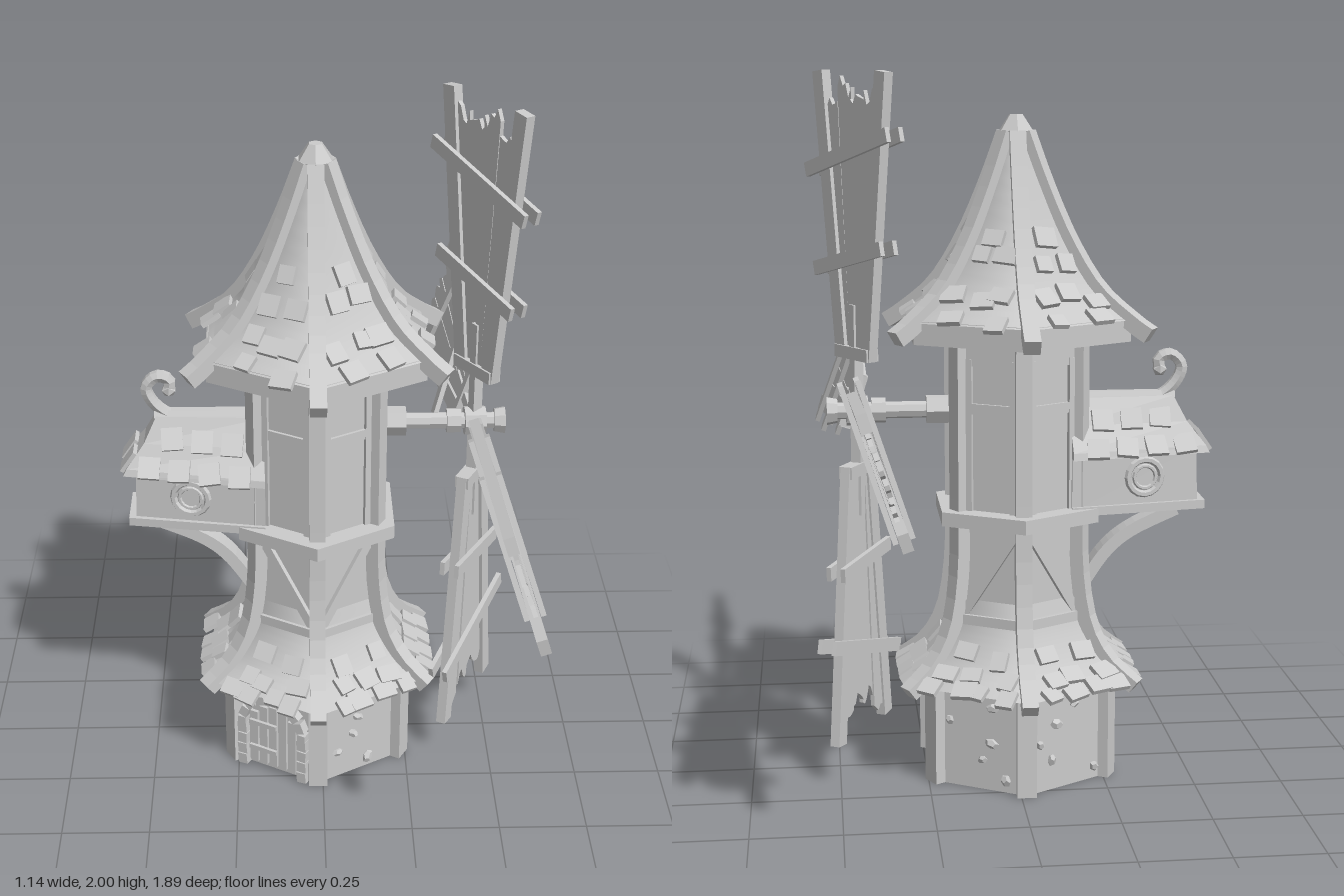
import * as THREE from 'three';

const flat = new THREE.MeshStandardMaterial({ color: 0xcccccc, flatShading: true, side: THREE.DoubleSide });
const smooth = new THREE.MeshStandardMaterial({ color: 0xcccccc, side: THREE.DoubleSide });
const V2 = (p) => new THREE.Vector2(p[0], p[1]);
const rad = THREE.MathUtils.degToRad;
const COS30 = Math.cos(Math.PI / 6);

let seed = 7;
const rnd = (a, b) => {
  seed = (seed * 16807) % 2147483647;
  return a + (b - a) * (seed / 2147483647);
};

function add(parent, name, geo, pos = [0, 0, 0], rot = [0, 0, 0], mat = flat) {
  const m = new THREE.Mesh(geo, mat);
  m.name = name;
  m.position.set(...pos);
  m.rotation.set(...rot);
  parent.add(m);
  return m;
}
const box = (w, h, d) => new THREE.BoxGeometry(w, h, d);

function sub(parent, name, pos = [0, 0, 0], rotY = 0) {
  const g = new THREE.Group();
  g.name = name;
  g.position.set(...pos);
  g.rotation.y = rotY;
  parent.add(g);
  return g;
}

// Straight bar between two points of a local XY plane
function bar(parent, name, a, b, w, d, z = 0) {
  const dx = b[0] - a[0], dy = b[1] - a[1];
  return add(parent, name, box(w, Math.hypot(dx, dy), d),
    [(a[0] + b[0]) / 2, (a[1] + b[1]) / 2, z], [0, 0, -Math.atan2(dx, dy)]);
}

// Curved beam: a strip of given depth under a spline, extruded to a width
function ribGeometry(points, depth, width) {
  const curve = new THREE.SplineCurve(points.map(V2)), outer = [], inner = [];
  for (let i = 0; i <= 14; i++) {
    const p = curve.getPoint(i / 14), t = curve.getTangent(i / 14);
    outer.push(p);
    inner.unshift(new THREE.Vector2(p.x - t.y * depth, p.y + t.x * depth));
  }
  const geo = new THREE.ExtrudeGeometry(new THREE.Shape([...outer, ...inner]), { depth: width, bevelEnabled: false });
  return geo.translate(0, 0, -width / 2);
}

// Six-sided ring with a rectangular section
function hexRing(parent, name, ri, ro, y0, y1) {
  const pts = [[ri, y0], [ro, y0], [ro, y1], [ri, y1], [ri, y0]].map(V2);
  add(parent, name, new THREE.LatheGeometry(pts, 6), [0, 0, 0], [0, 0, 0], flat);
}

// Loft of four-cornered rings [y, xBack, halfBack, xEnd, halfEnd]
function loft(rings) {
  const P = rings.map(([y, xb, wb, xe, we]) => [[xb, y, wb], [xe, y, we], [xe, y, -we], [xb, y, -wb]]);
  const v = [];
  for (let k = 0; k + 1 < P.length; k++) for (let i = 0; i < 4; i++) {
    const j = (i + 1) % 4, b = P[k], t = P[k + 1];
    v.push(...b[j], ...b[i], ...t[i], ...b[j], ...t[i], ...t[j]);
  }
  const b = P[0], t = P[P.length - 1];
  v.push(...b[0], ...b[1], ...b[2], ...b[0], ...b[2], ...b[3], ...t[0], ...t[2], ...t[1], ...t[0], ...t[3], ...t[2]);
  const g = new THREE.BufferGeometry();
  g.setAttribute('position', new THREE.Float32BufferAttribute(v, 3));
  g.computeVertexNormals();
  return g;
}

// Six-sided sweeping roof with loose shingles
function sweptRoof(parent, name, points, rows) {
  const curve = new THREE.SplineCurve(points.map(V2));
  add(parent, name, new THREE.LatheGeometry(curve.getPoints(14), 6), [0, 0, 0], [0, 0, 0], smooth);
  for (let f = 0; f < 6; f++) {
    const face = sub(parent, name + 'Shingles', [0, 0, 0], rad(30 + 60 * f));
    for (const [u, count] of rows) for (let i = 0; i < count; i++) {
      const uu = u + rnd(-0.04, 0.04), p = curve.getPoint(Math.max(0, uu)), t = curve.getTangent(Math.max(0, uu));
      const x = ((i + 0.5) / count - 0.5 + rnd(-0.08, 0.08)) * p.x * 0.8;
      add(face, 'shingle', box(rnd(0.045, 0.07), rnd(0.045, 0.06), 0.014), [x, p.y + 0.006, p.x * COS30 + 0.008],
        [Math.atan2(t.x * COS30, t.y) - 0.12, 0, rnd(-0.15, 0.15)]);
    }
  }
}

function buildDoor(face, z) {
  const s = new THREE.Shape();
  s.moveTo(-0.085, 0.02).lineTo(0.085, 0.02).lineTo(0.085, 0.16);
  s.absarc(0, 0.16, 0.085, 0, Math.PI, false);
  add(face, 'doorPanel', new THREE.ExtrudeGeometry(s, { depth: 0.008, bevelEnabled: false }), [0, 0, z]);
  for (let i = -2; i <= 2; i++) {
    const h = 0.13 + Math.sqrt(0.08 ** 2 - (i * 0.032) ** 2);
    add(face, 'doorPlank', box(0.026, h, 0.012), [0, 0, 0]).position.set(i * 0.032, 0.025 + h / 2, z + 0.012);
  }
  for (const y of [0.08, 0.17]) add(face, 'doorHinge', box(0.09, 0.014, 0.01), [-0.03, y, z + 0.022]);
  // Stone arch
  for (const sx of [-1, 1]) for (let i = 0; i < 4; i++)
    add(face, 'doorStone', box(0.03, 0.034, 0.035), [sx * 0.1, 0.025 + i * 0.038, z + 0.01], [0, 0, rnd(-0.1, 0.1)]);
  for (let i = 0; i <= 8; i++) {
    const a = Math.PI * i / 8;
    add(face, 'doorStone', box(0.026, 0.034, 0.035), [0.1 * Math.cos(a), 0.16 + 0.1 * Math.sin(a), z + 0.01], [0, 0, a]);
  }
}

function buildTower(root) {
  const tower = sub(root, 'tower', [-0.015, 0, 0]);
  // Hollow base and core
  add(tower, 'baseWall', new THREE.CylinderGeometry(0.285, 0.285, 0.3, 6, 1, true), [0, 0.155, 0]);
  add(tower, 'baseCeiling', new THREE.CylinderGeometry(0.33, 0.33, 0.012, 6), [0, 0.302, 0]);
  add(tower, 'towerWall', new THREE.CylinderGeometry(0.19, 0.19, 0.9, 6), [0, 0.85, 0]);
  sweptRoof(tower, 'skirtRoof', [[0.36, 0.3], [0.285, 0.355], [0.225, 0.44], [0.19, 0.53]], [[0.03, 4], [0.22, 3], [0.45, 2]]);
  sweptRoof(tower, 'mainRoof', [[0.35, 1.33], [0.25, 1.41], [0.165, 1.54], [0.095, 1.69], [0.038, 1.83]],
    [[0.05, 2], [0.2, 3], [0.4, 2], [0.55, 1]]);
  hexRing(tower, 'eaveBoards', 0.31, 0.345, 1.27, 1.335);
  add(tower, 'roofCeiling', new THREE.CylinderGeometry(0.33, 0.33, 0.012, 6), [0, 1.3, 0]);
  hexRing(tower, 'middleBand', 0.18, 0.255, 0.75, 0.79);
  hexRing(tower, 'lowerBand', 0.18, 0.215, 0.46, 0.49);
  hexRing(tower, 'upperBand', 0.18, 0.2, 1.2, 1.27);
  add(tower, 'roofCap', new THREE.CylinderGeometry(0.02, 0.052, 0.045, 6), [0, 1.86, 0]);
  add(tower, 'roofCapCollar', new THREE.CylinderGeometry(0.052, 0.045, 0.015, 6), [0, 1.83, 0]);

  // Corner posts, tower ribs and roof ribs
  const wallRib = ribGeometry([[0.385, 0.3], [0.3, 0.365], [0.245, 0.46], [0.22, 0.6], [0.215, 0.76], [0.215, 1.0], [0.215, 1.3]], 0.04, 0.045);
  const roofRib = ribGeometry([[0.415, 1.31], [0.36, 1.345], [0.262, 1.425], [0.178, 1.55], [0.106, 1.7], [0.05, 1.84]], 0.045, 0.045);
  for (let k = 0; k < 6; k++) {
    const corner = sub(tower, 'corner', [0, 0, 0], rad(60 * k - 90));
    add(corner, 'basePost', box(0.05, 0.3, 0.055), [0.275, 0.155, 0]);
    add(corner, 'wallRib', wallRib);
    add(corner, 'roofRib', roofRib);
  }

  // Wall details
  for (let k = 0; k < 6; k++) {
    const face = sub(tower, 'wallFace', [0, 0, 0], rad(30 + 60 * k)), s = k % 2 ? 1 : -1;
    bar(face, 'diagonalBrace', [s * 0.085, 0.49], [-s * 0.085, 0.75], 0.028, 0.02, 0.168);
    add(face, 'wallCrossbar', box(0.18, 0.03, 0.014), [0, 1.08, 0.166]);
    for (const sx of [-1, 1]) add(face, 'panelEdge', box(0.025, 0.44, 0.014), [sx * 0.07, 1.0, 0.168]);
    if (k === 5) buildDoor(face, 0.247);
    else for (let i = 0; i < 5; i++) {
      const stone = add(face, 'wallStone', new THREE.DodecahedronGeometry(rnd(0.013, 0.02)),
        [rnd(-0.1, 0.1), 0.04 + i * 0.052, 0.247], [rnd(0, 3), rnd(0, 3), 0]);
      stone.scale.set(1.2, 0.8, 0.8);
    }
  }
}

function buildHut(root) {
  const hut = sub(root, 'sideHut');
  add(hut, 'hutWalls', loft([[0.78, -0.16, 0.13, -0.53, 0.065], [0.95, -0.16, 0.13, -0.525, 0.065]]));
  add(hut, 'hutFloor', loft([[0.77, -0.16, 0.14, -0.55, 0.075], [0.795, -0.16, 0.14, -0.55, 0.075]]));
  add(hut, 'hutRoof', loft([[0.935, -0.16, 0.165, -0.56, 0.085], [0.955, -0.16, 0.16, -0.55, 0.08],
    [1.02, -0.16, 0.09, -0.5, 0.05], [1.09, -0.16, 0.035, -0.465, 0.02]]));
  add(hut, 'hutRidge', new THREE.CylinderGeometry(0.022, 0.022, 0.3, 6), [-0.32, 1.085, 0], [0, 0, Math.PI / 2]);
  const curl = [[-0.39, 1.085], [-0.43, 1.09], [-0.475, 1.13], [-0.49, 1.175], [-0.46, 1.207], [-0.425, 1.195], [-0.427, 1.165]];
  add(hut, 'ridgeCurl', new THREE.TubeGeometry(new THREE.CatmullRomCurve3(curl.map((p) => new THREE.Vector3(p[0], p[1], 0))), 20, 0.018, 6));
  add(hut, 'curlTip', new THREE.IcosahedronGeometry(0.022), [-0.427, 1.165, 0]);
  add(hut, 'hutBrace', ribGeometry([[-0.47, 0.775], [-0.34, 0.715], [-0.26, 0.65], [-0.19, 0.55]], -0.035, 0.06));
  // Round windows and shingles on both sides
  for (const s of [1, -1]) {
    const win = sub(hut, 'roundWindow', [-0.37, 0.872, s * 0.095], s > 0 ? rad(-10) : rad(190));
    add(win, 'windowFrame', new THREE.TorusGeometry(0.05, 0.01, 6, 16), [0, 0, 0.004]);
    add(win, 'windowRim', new THREE.TorusGeometry(0.032, 0.006, 6, 14), [0, 0, 0.006]);
    for (let r = 0; r < 2; r++) for (let i = 0; i < 4 - r; i++)
      add(hut, 'hutShingle', box(0.06, 0.065, 0.012),
        [-0.23 - i * 0.085 - r * 0.02, 0.965 + r * 0.07, s * (0.155 - i * 0.02 - r * 0.062)], [s * (r ? -0.7 : -0.85), rnd(-0.1, 0.1), rnd(-0.12, 0.12)]);
  }
  for (const z of [-0.04, 0.04]) add(hut, 'endShingle', box(0.012, 0.07, 0.06), [-0.545, 0.97, z], [0, 0, -0.6]);
}

function buildBlade(hub, turn, pitch, slats) {
  const arm = sub(hub, 'sailArm');
  arm.rotation.x = turn;
  const blade = sub(arm, 'sail', [0, 0, 0], pitch - Math.PI / 2);
  // Ragged plank sheet
  for (let i = 0; i < 4; i++) {
    const a = i / 2 - 1, b = a + 0.49, s = new THREE.Shape(), top = rnd(0.85, 0.9);
    s.moveTo(a * 0.05, 0.17).lineTo(b * 0.05, 0.17).lineTo(b * 0.135, top);
    for (let j = 1; j < 5; j++) s.lineTo(THREE.MathUtils.lerp(b, a, j / 5) * 0.135, top + rnd(-0.04, 0.03));
    s.lineTo(a * 0.135, top);
    add(blade, 'sailPlank', new THREE.ExtrudeGeometry(s, { depth: 0.012, bevelEnabled: false }), [0, 0, rnd(-0.009, -0.003)]);
  }
  for (const s of [-1, 1]) bar(blade, 'sailBeam', [s * 0.058, 0.15], [s * 0.152, 0.94], 0.048, 0.028);
  for (const [r, w, tilt] of slats)
    for (const z of [-0.022, 0.022]) bar(blade, 'sailSlat', [-w, r - tilt], [w, r + tilt], 0.04, 0.014, z);
  bar(blade, 'sailCrossbar', [-0.08, 0.165], [0.08, 0.165], 0.035, 0.04);
  bar(blade, 'sailSpar', [0, 0], [0, 0.3], 0.025, 0.03);
}

function buildWindmill(root) {
  const side = [0, 0, Math.PI / 2];
  add(root, 'axleBearing', new THREE.CylinderGeometry(0.042, 0.042, 0.1, 6), [0.19, 1.06, 0], side);
  add(root, 'axle', new THREE.CylinderGeometry(0.024, 0.024, 0.34, 8), [0.35, 1.06, 0], side);
  add(root, 'axleCollar', new THREE.CylinderGeometry(0.036, 0.036, 0.04, 8), [0.375, 1.06, 0], side);
  add(root, 'axleNose', new THREE.CylinderGeometry(0.034, 0.04, 0.03, 8), [0.505, 1.06, 0], side);
  const hub = sub(root, 'sailHub', [0.435, 1.06, 0], rad(2.5));
  add(hub, 'hubBlock', new THREE.CylinderGeometry(0.042, 0.042, 0.06, 8), [0, 0, 0], side);
  buildBlade(hub, 0, rad(30), [[0.43, 0.165, -0.04], [0.72, 0.2, -0.055]]);
  buildBlade(hub, Math.PI / 2, rad(18), [[0.45, 0.16, 0.05], [0.7, 0.18, 0.06]]);
  buildBlade(hub, Math.PI, rad(30), [[0.43, 0.15, 0.012], [0.69, 0.21, -0.055]]);
  buildBlade(hub, -Math.PI / 2, rad(18), [[0.38, 0.16, 0.045], [0.7, 0.2, -0.045]]);
}

export function createModel() {
  seed = 7;
  const root = new THREE.Group();
  root.name = 'windmillTower';
  buildTower(root);
  buildHut(root);
  buildWindmill(root);
  return root;
}
